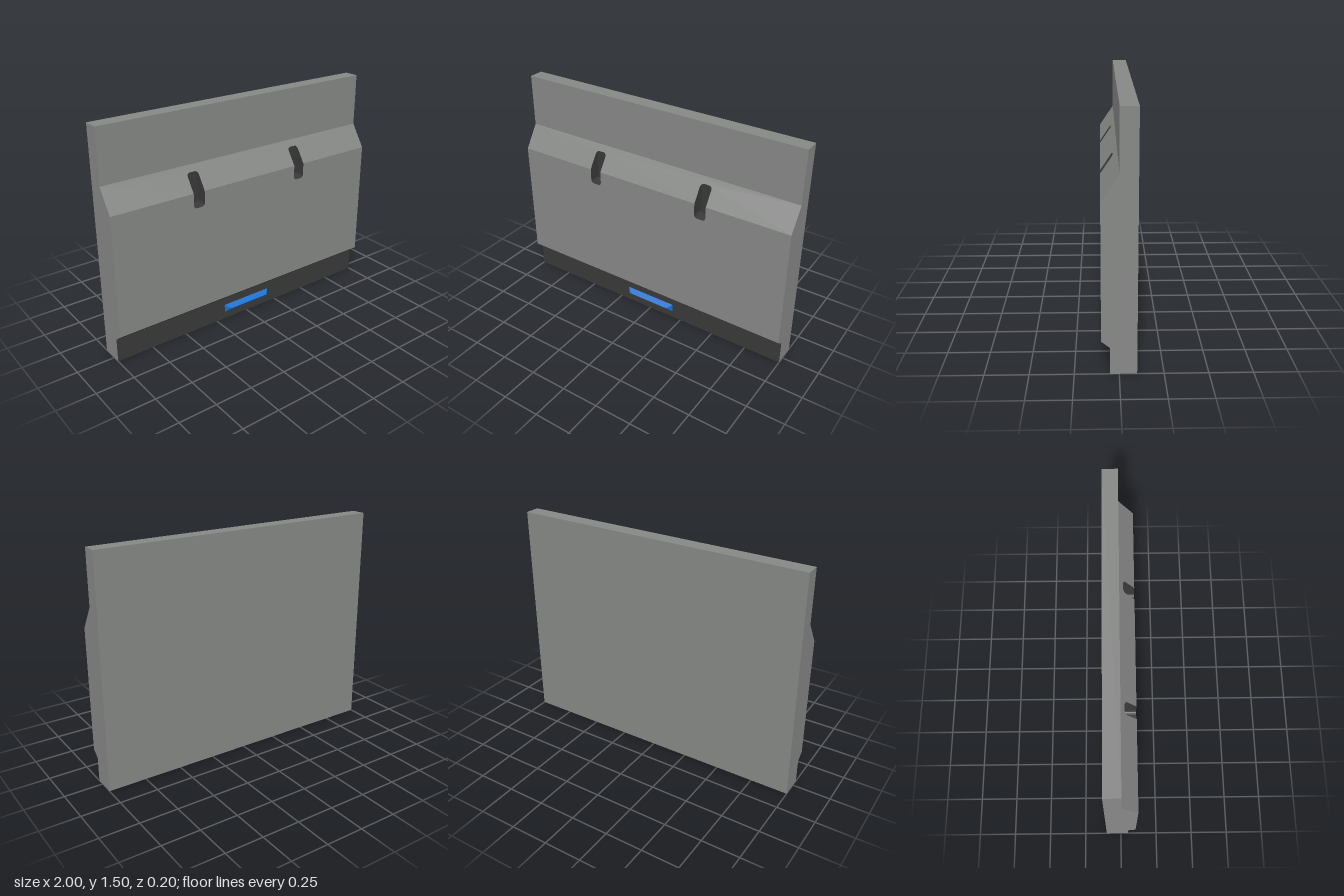
import * as THREE from 'three';

const grey = new THREE.MeshStandardMaterial({ name: 'panelGrey', color: 0x868886 });
const dark = new THREE.MeshStandardMaterial({ name: 'darkGrey', color: 0x393939 });
const blue = new THREE.MeshStandardMaterial({ name: 'handleBlue', color: 0x1070cc });

// Side profile as [z, y]: up the front, over the top, down the back
const PROFILE = [[0.05, 0], [0.05, 0.16], [0.1, 0.2], [0.1, 1], [0, 1.15], [0, 1.5], [-0.1, 1.5], [-0.1, 0]];
const SLOT_X = [-0.4, 0.4], SLOT_HALF = 0.04, SLOT_TOP = 1.11, SLOT_BOTTOM = 0.9, SLOT_BACK = 0.02, BEND = 1;

const frontZ = (y) => (y <= BEND ? 0.1 : 0.1 - (y - BEND) / 1.5);

function add(group, name, geometry, material) {
  const mesh = new THREE.Mesh(geometry, material);
  mesh.name = name;
  group.add(mesh);
  return mesh;
}

// Flat-shaded geometry from polygons, each a fan of [x, y, z] corners
function facets(polygons) {
  const out = [];
  for (const p of polygons)
    for (let i = 1; i < p.length - 1; i++) out.push(...p[0], ...p[i], ...p[i + 1]);
  const g = new THREE.BufferGeometry();
  g.setAttribute('position', new THREE.Float32BufferAttribute(out, 3));
  g.computeVertexNormals();
  return g;
}

// Full-width strip along profile edge i
function strip(i) {
  const [az, ay] = PROFILE[i], [bz, by] = PROFILE[(i + 1) % PROFILE.length];
  return [[-1, ay, az], [1, ay, az], [1, by, bz], [-1, by, bz]];
}

// Half of a slot outline, from its -x side at the bend round to its +x side
function halfSlot(x, endY) {
  const r = 0.022, s = Math.sign(endY - BEND), pts = [new THREE.Vector2(x - SLOT_HALF, BEND)];
  for (const side of [-1, 1])
    for (let i = 0; i <= 4; i++) {
      const a = (side < 0 ? i : 4 - i) * Math.PI / 8;
      pts.push(new THREE.Vector2(
        x + side * (SLOT_HALF - r + r * Math.cos(a)),
        endY - s * r + s * r * Math.sin(a)));
    }
  pts.push(new THREE.Vector2(x + SLOT_HALF, BEND));
  return pts;
}

// Front face on one side of the bend, notched for the slots
function notchedFace(edgeY, slotEnd) {
  const pts = [new THREE.Vector2(-1, BEND)];
  for (const x of SLOT_X) pts.push(...halfSlot(x, slotEnd));
  pts.push(new THREE.Vector2(1, BEND), new THREE.Vector2(1, edgeY), new THREE.Vector2(-1, edgeY));
  const g = new THREE.ShapeGeometry(new THREE.Shape(pts));
  const p = g.attributes.position;
  for (let i = 0; i < p.count; i++) p.setZ(i, frontZ(p.getY(i)));
  g.computeVertexNormals();
  return g;
}

export function createModel() {
  const model = new THREE.Group();
  model.name = 'panel';

  // Panel shell
  add(model, 'panelShell', facets([4, 5, 6, 7].map(strip)), grey);
  add(model, 'frontFace', notchedFace(0.2, SLOT_BOTTOM), grey);
  add(model, 'slopedShoulder', notchedFace(1.15, SLOT_TOP), grey);
  for (const side of [-1, 1]) {
    const cap = new THREE.Shape(PROFILE.map(([z, y]) => new THREE.Vector2(-side * z, y)));
    const g = new THREE.ShapeGeometry(cap).rotateY(side * Math.PI / 2).translate(side, 0, 0);
    add(model, side > 0 ? 'leftSide' : 'rightSide', g, grey);
  }

  // Dark recessed kick strip and its bevel
  add(model, 'kickStrip', facets([strip(0), strip(1)]), dark);

  // Rounded slots sunk into the shoulder
  for (const x of SLOT_X) {
    const outline = [...halfSlot(x, SLOT_BOTTOM), ...halfSlot(x, SLOT_TOP).reverse().slice(1, -1)];
    const walls = outline.map((p, i) => {
      const q = outline[(i + 1) % outline.length];
      return [[p.x, p.y, frontZ(p.y)], [q.x, q.y, frontZ(q.y)], [q.x, q.y, SLOT_BACK], [p.x, p.y, SLOT_BACK]];
    });
    const slot = new THREE.Group();
    slot.name = x > 0 ? 'leftSlot' : 'rightSlot';
    add(slot, 'slotWalls', facets(walls), dark);
    add(slot, 'slotFloor', new THREE.ShapeGeometry(new THREE.Shape(outline)).translate(0, 0, SLOT_BACK), dark);
    model.add(slot);
  }

  // Blue hipped wedge handle
  const a = [-0.185, 0.05, 0.05], b = [0.185, 0.05, 0.05], c = [0.185, 0.105, 0.05], d = [-0.185, 0.105, 0.05];
  const l = [-0.15, 0.08, 0.08], r = [0.15, 0.08, 0.08];
  add(model, 'handle', facets([[a, b, r, l], [l, r, c, d], [b, c, r], [d, a, l]]), blue);

  return model;
}
